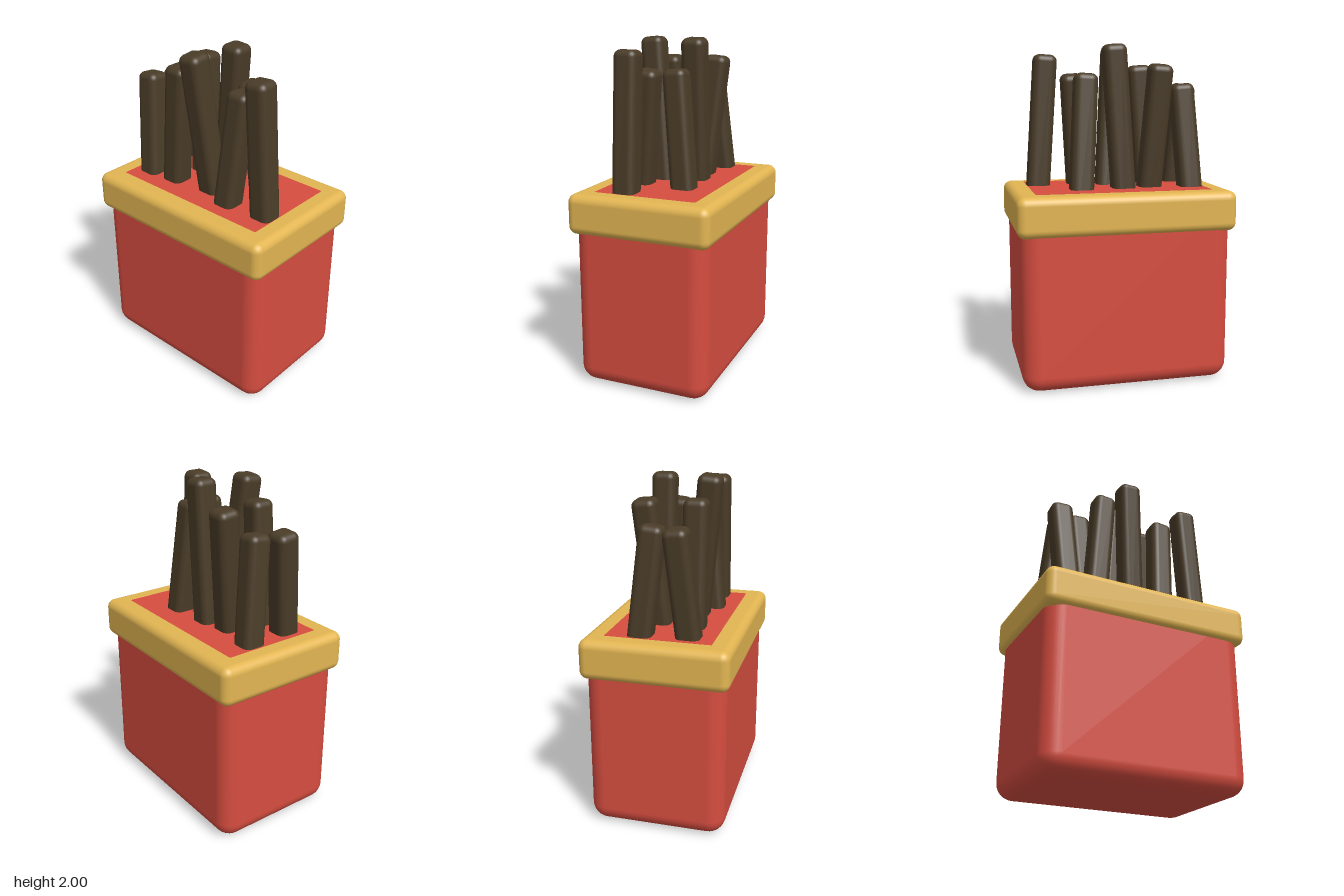
import * as THREE from 'three';
import { RoundedBoxGeometry } from 'three/addons/geometries/RoundedBoxGeometry.js';

const red = new THREE.MeshStandardMaterial({ color: 0xd64d40 });
const gold = new THREE.MeshStandardMaterial({ color: 0xe2b552 });
const brown = new THREE.MeshStandardMaterial({ color: 0x4a3c28 });

// Rounded box spanning y0..y1, centred on the y axis
function box(name, w, d, y0, y1, r, material) {
  const mesh = new THREE.Mesh(new RoundedBoxGeometry(w, y1 - y0, d, 4, r), material);
  mesh.position.y = (y0 + y1) / 2;
  mesh.name = name;
  return mesh;
}

const MOUTH = 1.15; // height of the filled top
const SUNK = 0.25; // depth of each stick inside the box

// Leaning stick through (bx, bz) at the mouth, ending at (tx, top, tz)
function stick([bx, bz, tx, tz, top]) {
  const base = new THREE.Vector3(bx, MOUTH, bz);
  const tip = new THREE.Vector3(tx, top - 0.004, tz);
  const dir = tip.clone().sub(base);
  const length = dir.length() + SUNK;
  dir.normalize();
  const mesh = new THREE.Mesh(new RoundedBoxGeometry(0.14, length, 0.14, 4, 0.04), brown);
  mesh.position.copy(tip).addScaledVector(dir, -length / 2);
  mesh.quaternion.setFromUnitVectors(new THREE.Vector3(0, 1, 0), dir);
  mesh.name = 'stick';
  return mesh;
}

export function createModel() {
  const model = new THREE.Group();
  model.name = 'stickBox';

  // Container, its flat top just proud of the rim
  model.add(box('container', 1.24, 0.81, 0, MOUTH + 0.0005, 0.1, red));
  model.add(box('rim', 1.286, 0.86, 0.915, MOUTH, 0.05, gold));

  // Sticks: base x, base z, tip x, tip z, tip height
  const sticks = new THREE.Group();
  sticks.name = 'sticks';
  const layout = [
    // back row
    [-0.445, -0.115, -0.402, -0.05, 1.77],
    [-0.2, -0.072, -0.248, -0.145, 1.885],
    [-0.03, -0.1, 0.028, -0.1, 2.0],
    [0.228, -0.12, 0.185, -0.052, 1.83],
    // front row
    [-0.422, 0.157, -0.465, 0.092, 1.77],
    [-0.237, 0.14, -0.185, 0.14, 1.885],
    [0.025, 0.103, -0.035, 0.187, 2.0],
    [0.198, 0.162, 0.243, 0.094, 1.83],
    [0.452, 0.14, 0.398, 0.14, 1.945],
  ];
  for (const row of layout) sticks.add(stick(row));
  model.add(sticks);
  return model;
}
